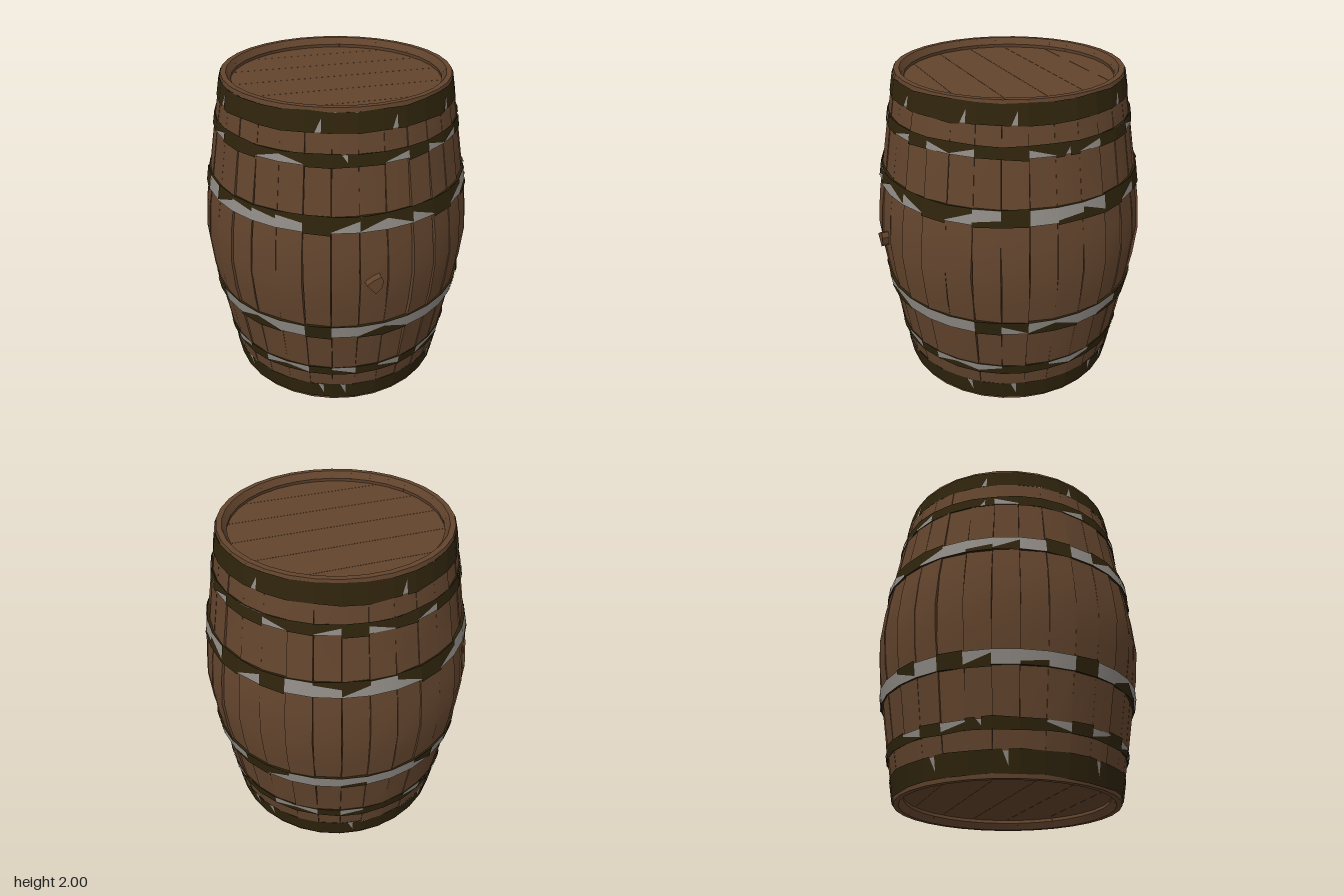
import * as THREE from 'three';
import { mergeGeometries, toCreasedNormals } from 'three/addons/utils/BufferGeometryUtils.js';

const N = 32, STEP = (Math.PI * 2) / N;

// Outer radius of the barrel by height, mirrored about the middle
const PROFILE = [[0, 0.685], [0.04, 0.692], [0.15, 0.712], [0.32, 0.742], [0.6, 0.788], [0.8, 0.822], [1, 0.84]];
const LEVELS = [...PROFILE.map(p => p[0]), ...PROFILE.slice(0, -1).reverse().map(p => 2 - p[0])];
function radiusAt(y) {
  const h = Math.min(Math.max(Math.min(y, 2 - y), 0), 1);
  let i = 0;
  while (i < PROFILE.length - 2 && h > PROFILE[i + 1][0]) i++;
  const [a, ra] = PROFILE[i], [b, rb] = PROFILE[i + 1];
  return ra + ((rb - ra) * (h - a)) / (b - a);
}

function seeded(seed) {
  return () => {
    seed = (seed * 16807) % 2147483647;
    return seed / 2147483647;
  };
}

function fromTriangles(pos, idx) {
  const g = new THREE.BufferGeometry();
  g.setAttribute('position', new THREE.Float32BufferAttribute(pos, 3));
  g.setIndex(idx);
  return g;
}

// One bowed plank: a four-cornered section swept up the profile, crooked mostly at the belly
function staveGeometry(k, rand) {
  const pos = [], idx = [];
  const push = (rand() - 0.5) * 0.012, tilt = (rand() - 0.5) * 0.16;
  LEVELS.forEach((y, l) => {
    const loose = 1 - (y - 1) ** 2;
    const r = radiusAt(y) + push * loose;
    const end = l === 0 || l === LEVELS.length - 1;
    const inner = r - (end ? 0.032 : 0.066);
    const left = 1 - rand() * rand() * 0.1 * loose, right = 1 - rand() * rand() * 0.1 * loose;
    const wo = r * Math.tan(STEP / 2), wi = inner * Math.tan(STEP / 2);
    const lean = wo * tilt * loose;
    pos.push(-wo * left, y, r - lean, wo * right, y, r + lean);
    pos.push(wi * right, y, inner, -wi * left, y, inner);
    if (l === 0) return;
    const a = (l - 1) * 4, b = l * 4;
    for (let j = 0; j < 4; j++) {
      const n = (j + 1) % 4;
      idx.push(a + j, a + n, b + n, a + j, b + n, b + j);
    }
  });
  const t = (LEVELS.length - 1) * 4;
  idx.push(0, 3, 2, 0, 2, 1, t, t + 1, t + 2, t, t + 2, t + 3);
  return fromTriangles(pos, idx).rotateY(k * STEP);
}

// Corner radius of a hoop lifted off the staves
const hoopRadius = (y, lift) => (radiusAt(y) + lift) * 1.005;

// Visible metal face of a hoop
function hoopFace(y0, y1, lift) {
  const pts = [y0, y1].map(y => new THREE.Vector2(hoopRadius(y, lift), y));
  return new THREE.LatheGeometry(pts, N, STEP / 2);
}

// Rusty body behind the face, showing at the upper and lower edges
function hoopBody(y0, y1, lift) {
  const r0 = hoopRadius(y0, lift) - 0.002, r1 = hoopRadius(y1, lift) - 0.002;
  const pts = [[r0 - 0.025, y0], [r0, y0], [r1, y1], [r1 - 0.025, y1]].map(p => new THREE.Vector2(...p));
  return toCreasedNormals(new THREE.LatheGeometry(pts, N, STEP / 2), 0.6);
}

// Rust shapes on one hoop segment, as convex polygons in (across, up)
const above = (a, b) => [[[0, a], [1, b], [1, 1], [0, 1]]];
const below = (a, b) => [[[0, 0], [1, 0], [1, b], [0, a]]];
const spike = [[[0, 0], [0.35, 0], [0.6, 0.7], [0.6, 1], [0, 1]], [[0.6, 0], [1, 0], [1, 1], [0.6, 1]]];
const RUST = {
  D: above(0, 0), G: [],
  B: above(0.85, 0.6), r: above(0.1, 0.75), f: above(0.75, 0.1),
  T: below(0.2, 0.4), R: below(0.1, 0.75), F: below(0.75, 0.1),
  v: spike, A: spike.map(poly => poly.map(([u, v]) => [u, 1 - v])),
};
function rustGeometry(y0, y1, lift, code, rand) {
  const pos = [], idx = [];
  const ragged = Array.from({ length: N }, () => [rand() * 0.014, rand() * 0.014]);
  const edgePoint = (edge, f) => {
    const e = ragged[edge % N];
    const y = y0 + (y1 - y0) * f + (f === 0 ? -e[0] : f === 1 ? e[1] : 0);
    const r = hoopRadius(y, lift) + 0.003, a = (edge - 0.5) * STEP;
    return new THREE.Vector3(Math.sin(a) * r, y, Math.cos(a) * r);
  };
  for (let k = 0; k < N; k++) {
    for (const poly of RUST[code[k]]) {
      const i = pos.length / 3;
      for (const [u, v] of poly) pos.push(...edgePoint(k, v).lerp(edgePoint(k + 1, v), u).toArray());
      for (let j = 1; j < poly.length - 1; j++) idx.push(i, i + j, i + j + 1);
    }
  }
  const g = fromTriangles(pos, idx);
  g.computeVertexNormals();
  return g;
}

// Round head cut into straight boards with hairline gaps
function headGeometry(radius, depth) {
  const cuts = [-radius, -0.465, -0.235, -0.005, 0.225, 0.455, radius];
  const half = z => Math.sqrt(Math.max(radius * radius - z * z, 0));
  const boards = [];
  for (let i = 0; i < cuts.length - 1; i++) {
    const a = cuts[i] + (i ? 0.001 : 0), b = cuts[i + 1] - (i < cuts.length - 2 ? 0.001 : 0);
    const right = [], left = [];
    for (let j = 0; j <= 8; j++) {
      const z = a + ((b - a) * j) / 8;
      right.push(new THREE.Vector2(half(z), -z));
      left.unshift(new THREE.Vector2(-half(z), -z));
    }
    const shape = new THREE.Shape([...right, ...left]);
    boards.push(new THREE.ExtrudeGeometry(shape, { depth, bevelEnabled: false }));
  }
  return mergeGeometries(boards).rotateX(-Math.PI / 2);
}

export function createModel() {
  const paint = (name, color, side = THREE.FrontSide) => {
    const m = new THREE.MeshStandardMaterial({ color, side });
    m.name = name;
    return m;
  };
  const wood = paint('brown wood', 0x62442d);
  const metal = paint('grey metal', 0x8f8a85);
  const rust = paint('dark rust', 0x2e230c, THREE.DoubleSide);

  const group = new THREE.Group();
  group.name = 'barrel';
  const add = (name, geometry, material) => {
    const mesh = new THREE.Mesh(geometry, material);
    mesh.name = name;
    mesh.position.z = -0.012;
    group.add(mesh);
    return mesh;
  };

  // Staves
  const rand = seeded(4217);
  const staves = Array.from({ length: N }, (_, k) => staveGeometry(k, rand));
  add('staves', toCreasedNormals(mergeGeometries(staves), 0.5), wood);

  // Dark lining seen through the seams
  const lining = LEVELS.map(y => {
    const h = Math.min(Math.max(y, 0.05), 1.95);
    return new THREE.Vector2(radiusAt(h) - 0.03, h);
  });
  add('seamLining', new THREE.LatheGeometry(lining, N, STEP / 2), rust);

  // Recessed heads
  add('topHead', headGeometry(0.65, 0.03), wood).position.y = 1.91;
  add('bottomHead', headGeometry(0.65, 0.03), wood).position.y = 0.06;

  // Hoops with their rust: name, bottom, top, lift, rust shape per stave from the front
  const hoops = [
    ['topEnd', 1.87, 1.975, 0.003, 'DvDDvDvDDDDvDDDDDvDDDvDDDvDDDDvD'],
    ['upper', 1.695, 1.755, 0.007, 'DrDfrDDfvrDDfDrDfDrDDvfDDrDDrfDA'],
    ['upperMiddle', 1.325, 1.415, 0.014, 'rffDrTDGTFDrDGBrGfDrGTRGDGrBBBDr'],
    ['lowerMiddle', 0.595, 0.68, 0.014, 'RFGGGDfRFGTDrGGTGGfGDRGTGDGRFGDG'],
    ['lower', 0.255, 0.31, 0.007, 'DFDRFRDDFRDDRFDRDDFDRADDFDRDRFDF'],
    ['bottomEnd', 0.025, 0.14, 0.003, 'DDDDADADDDAADDDADDDADDADDDADDDAA'],
  ];
  for (const [name, y0, y1, lift, code] of hoops) {
    add(name + 'Hoop', hoopFace(y0, y1, lift), metal);
    add(name + 'HoopBody', hoopBody(y0, y1, lift), rust);
    add(name + 'HoopRust', rustGeometry(y0, y1, lift, code, rand), rust);
  }

  // Chipped bung at the front
  const outline = [[-0.055, 0.01], [0, -0.055], [0.035, -0.02], [0.045, 0.025], [0.03, 0.055], [-0.01, 0.04]];
  const bung = new THREE.ExtrudeGeometry(new THREE.Shape(outline.map(p => new THREE.Vector2(...p))),
    { depth: 0.05, bevelEnabled: false });
  add('bung', bung, wood).position.set(0, 1, 0.812);

  return group;
}
